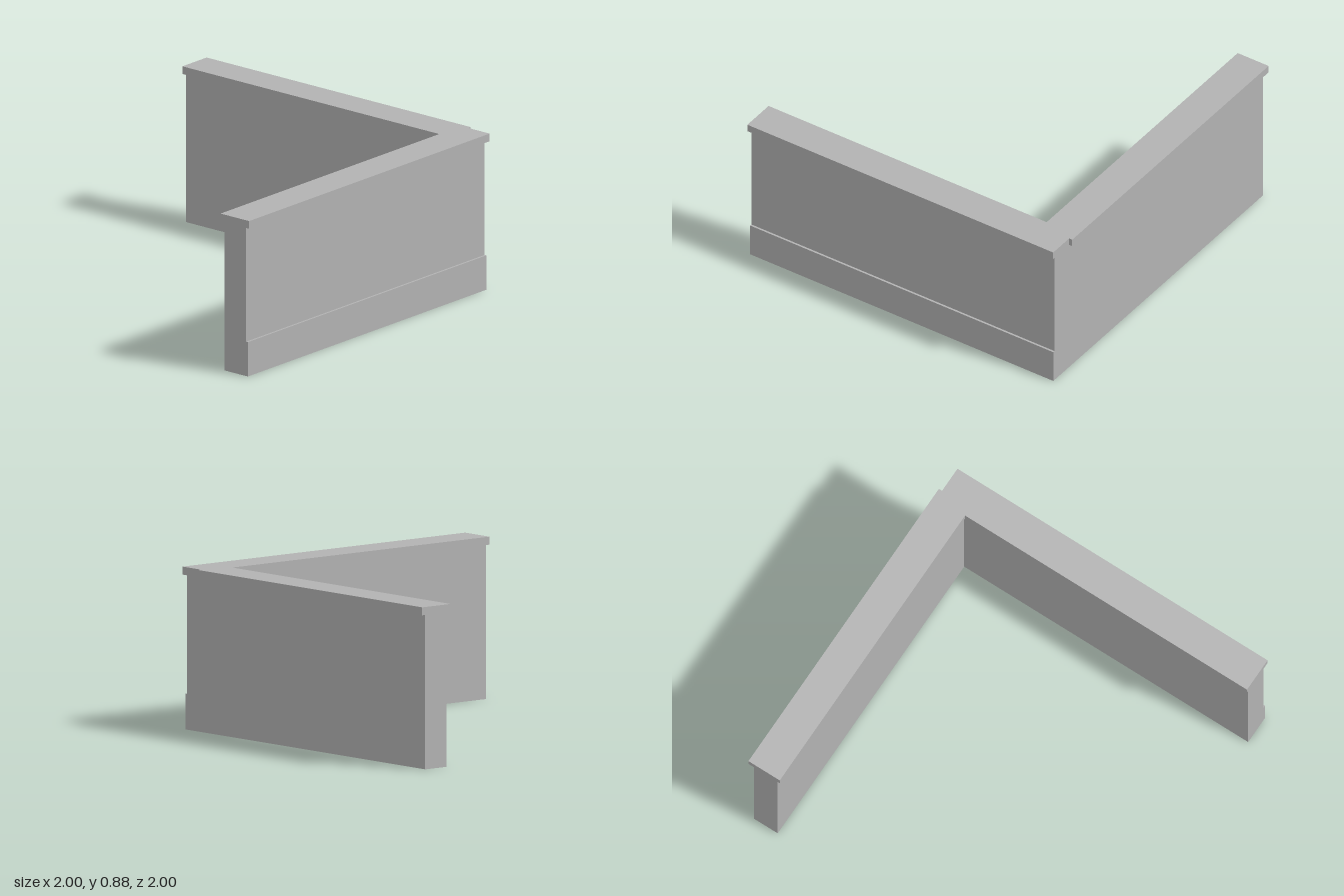
import * as THREE from 'three';

const stone = new THREE.MeshStandardMaterial({ color: 0xb2b2b2 });
stone.name = 'grey stone';

// Extrudes a floor plan of [x, z] corners upward from y0 to y1.
function slab(name, plan, y0, y1) {
  const shape = new THREE.Shape(plan.map(([x, z]) => new THREE.Vector2(x, -z)));
  const geometry = new THREE.ExtrudeGeometry(shape, { depth: y1 - y0, bevelEnabled: false });
  geometry.rotateX(-Math.PI / 2).translate(0, y0, 0);
  const mesh = new THREE.Mesh(geometry, stone);
  mesh.name = name;
  return mesh;
}

// L-shaped plan: front run along x, side run along z, with the front face at the given z.
const wallPlan = (front) => [
  [-0.993, front], [0.97, front], [0.97, -0.99],
  [0.82, -0.99], [0.82, 0.822], [-0.993, 0.822],
];

export function createModel() {
  const model = new THREE.Group();
  model.name = 'cornerParapet';

  // Wall, thicker along the front at its base
  model.add(slab('wallBase', wallPlan(0.985), 0, 0.193));
  model.add(slab('wall', wallPlan(0.973), 0.193, 0.834));

  // Overhanging coping with a small notch at the outer corner
  model.add(slab('coping', [
    [-1, 1], [0.98, 1], [0.98, 0.85], [1, 0.85], [1, -1],
    [0.8, -1], [0.8, 0.8], [-1, 0.8],
  ], 0.834, 0.877));

  return model;
}
